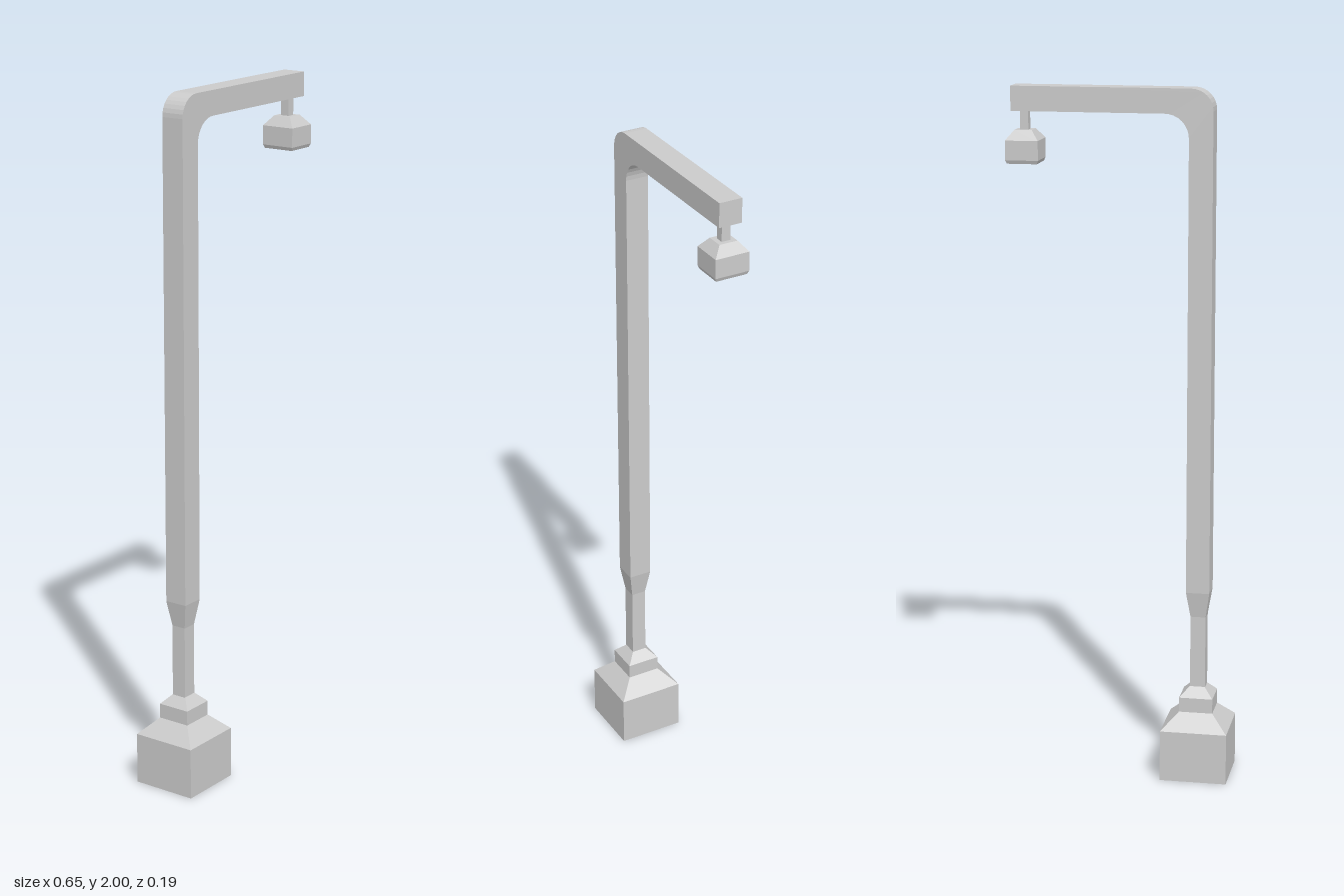
import * as THREE from 'three';

const material = new THREE.MeshStandardMaterial({ color: 0xcccccc, flatShading: true });

// Square column whose half width follows a [halfWidth, y] profile, bottom to top
function squareColumn(name, profile, x) {
  const points = profile.map(([h, y]) => new THREE.Vector2(h * Math.SQRT2, y));
  const mesh = new THREE.Mesh(new THREE.LatheGeometry(points, 4, Math.PI / 4), material);
  mesh.name = name;
  mesh.position.x = x;
  return mesh;
}

export function createModel() {
  const group = new THREE.Group();
  group.name = 'streetLamp';
  const poleX = -0.228, half = 0.034;

  // Stepped foot, thin neck and flare up to the pole
  group.add(squareColumn('base', [
    [0, 0], [0.097, 0], [0.097, 0.15], [0.049, 0.197], [0.049, 0.24], [0.022, 0.268],
  ], poleX + 0.001));
  group.add(squareColumn('neck', [[0.022, 0.265], [0.022, 0.48], [half, 0.555]], poleX));

  // Pole bending into the horizontal arm, one extruded outline
  const left = poleX - half, right = poleX + half, end = 0.31;
  const rOut = 0.062, rIn = 0.068, armBottom = 1.93;
  const outline = new THREE.Shape();
  outline.moveTo(left, 0.555);
  outline.lineTo(right, 0.555);
  outline.lineTo(right, armBottom - rIn);
  outline.absarc(right + rIn, armBottom - rIn, rIn, Math.PI, Math.PI / 2, true);
  outline.lineTo(end, armBottom);
  outline.lineTo(end, 2);
  outline.lineTo(left + rOut, 2);
  outline.absarc(left + rOut, 2 - rOut, rOut, Math.PI / 2, Math.PI, false);
  outline.closePath();
  const poleGeometry = new THREE.ExtrudeGeometry(outline, {
    depth: half * 2, bevelEnabled: false, curveSegments: 4,
  });
  poleGeometry.translate(0, 0, -half);
  const pole = new THREE.Mesh(poleGeometry, material);
  pole.name = 'poleAndArm';
  group.add(pole);

  // Hanging lamp head with its stem
  const lamp = squareColumn('lampHead', [
    [0, 1.784], [0.043, 1.784], [0.047, 1.794], [0.047, 1.849],
    [0.025, 1.877], [0.012, 1.877], [0.012, 1.932],
  ], 0.276);
  lamp.scale.z = 1.08;
  group.add(lamp);

  return group;
}
